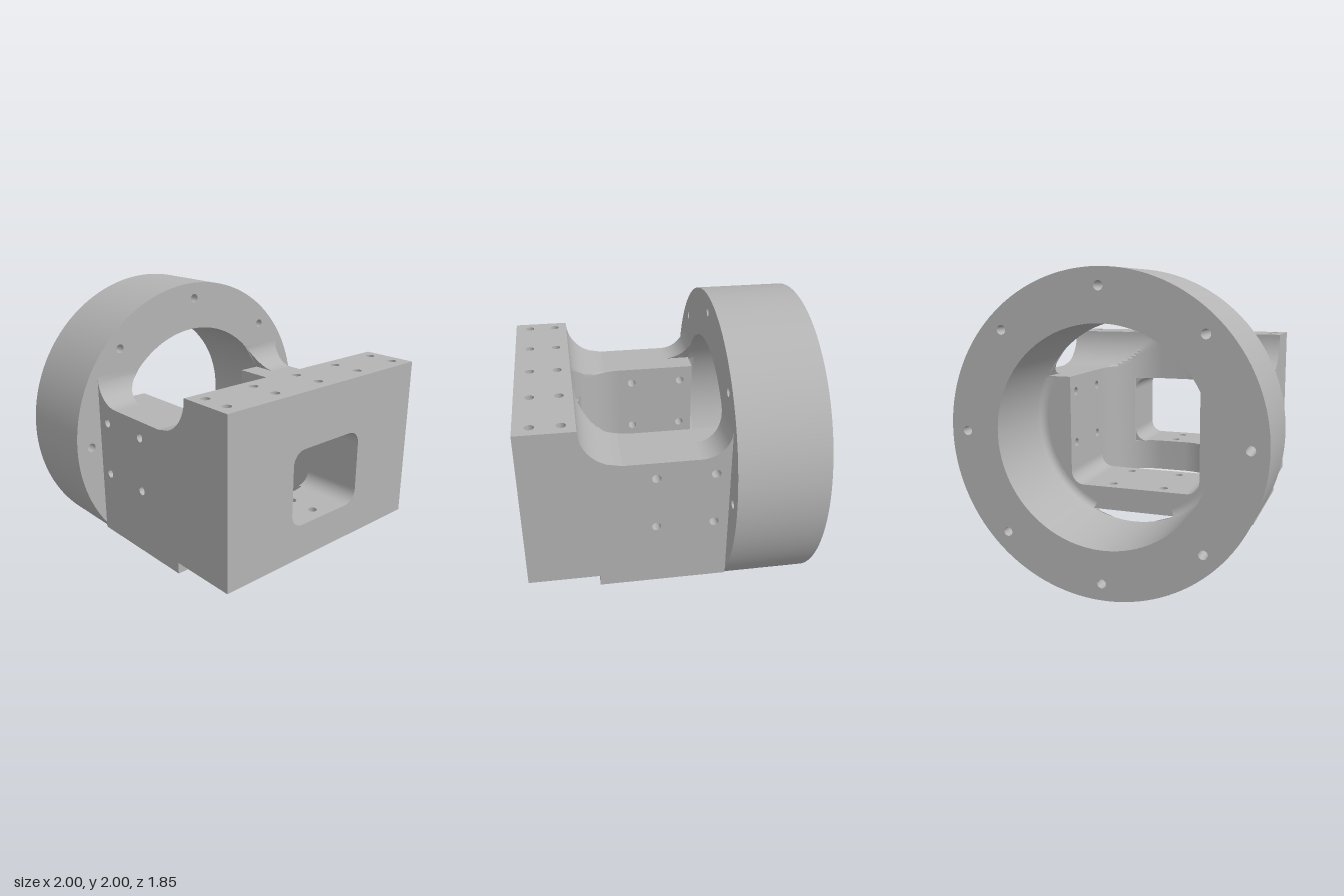
import * as THREE from 'three';
import { toCreasedNormals } from 'three/addons/utils/BufferGeometryUtils.js';

const BORE = 0.68, W = 0.815, PW = 0.455, PR = 0.36; // bore radius, half width, pocket half width, pocket corner radius
const BACK = -0.35, MID = 0.195, FRONT = 0.925, HOLE = 0.029;
const WALL_TOP = 1.29, TOP = 1.545, FLOOR = 0.545;

// Shape from points, with round screw holes
function makeShape(points, holes = []) {
  const shape = new THREE.Shape(points.map(([a, b]) => new THREE.Vector2(a, b)));
  for (const [a, b] of holes) {
    const h = new THREE.Path();
    h.absarc(a, b, HOLE, 0, Math.PI * 2, true);
    shape.holes.push(h);
  }
  return shape;
}

const extrude = (shape, depth, steps = 1) =>
  new THREE.ExtrudeGeometry(shape, { depth, steps, bevelEnabled: false, curveSegments: 12 });

// Evenly spaced points on a circle
const circle = (r, n) => Array.from({ length: n }, (_, i) =>
  [r * Math.cos(i * 2 * Math.PI / n), r * Math.sin(i * 2 * Math.PI / n)]);

// Horizontal plan given in (x, z), raised from y0 to y1
function plan(points, holes, y0, y1, steps = 1) {
  const flip = (list) => list.map(([x, z]) => [x, -z]);
  return extrude(makeShape(flip(points), flip(holes)), y1 - y0, steps)
    .rotateX(-Math.PI / 2).translate(0, y0, 0);
}

// Section of a concave fillet sitting in a corner
function cornerShape(cx, cy, sx, sy, r) {
  const pts = [[cx, cy]];
  for (let i = 0; i <= 10; i++) {
    const a = (i / 10) * Math.PI / 2;
    pts.push([cx + sx * r * (1 - Math.sin(a)), cy + sy * r * (1 - Math.cos(a))]);
  }
  return makeShape(pts);
}

// Points on the rounded pocket corner, from angle a0 to a1
function pocketArc(s, a0, a1) {
  return Array.from({ length: 21 }, (_, i) => {
    const a = a0 + (a1 - a0) * i / 20;
    return [s * (PW - PR + PR * Math.cos(a)), MID + PR * Math.sin(a)];
  });
}

export function createModel() {
  const group = new THREE.Group();
  const grey = new THREE.MeshStandardMaterial({ color: 0xb4b4b4 });
  grey.name = 'machined grey';
  const add = (name, geometry) => {
    const mesh = new THREE.Mesh(toCreasedNormals(geometry, 0.5), grey);
    mesh.name = name;
    group.add(mesh);
  };

  // Flange ring with eight bolt holes
  const ring = makeShape(circle(1, 128), circle(0.893, 8));
  ring.holes.push(makeShape(circle(BORE, 128)));
  add('flangeRing', extrude(ring, 0.575).translate(0, 1, -0.925));

  // Front block, stacked in layers around the window
  const right = pocketArc(1, 0, Math.PI / 2), left = pocketArc(-1, Math.PI / 2, 0);
  const fullPlan = [[-W, MID], [-W, FRONT], [W, FRONT], [W, MID], ...right, ...left];
  const screws = [];
  for (const x of [-0.73, -0.365, 0, 0.365, 0.73]) for (const z of [0.645, 0.825]) screws.push([x, z]);
  add('frontBlockLower', plan(fullPlan, screws, 0.46, 0.69));
  add('frontBlockUpper', plan(fullPlan, screws, 1.19, WALL_TOP));

  // Top bar: rear side is hollowed by a quarter round
  const bar = plan(fullPlan, screws, WALL_TOP, TOP, 14);
  const p = bar.attributes.position;
  const R = TOP - WALL_TOP;
  for (let i = 0; i < p.count; i++) {
    const d = TOP - p.getY(i);
    const rear = 0.56 - R + Math.sqrt(Math.max(0, R * R - d * d));
    p.setZ(i, Math.max(p.getZ(i), rear));
  }
  add('topBar', bar);

  for (const s of [1, -1]) {
    const side = s > 0 ? 'left' : 'right';

    // Block beside the window
    const aWin = Math.acos((0.295 - PW + PR) / PR);
    add(side + 'WindowPost', plan(
      [[s * W, MID], [s * W, FRONT], [s * 0.295, FRONT], ...pocketArc(s, aWin, 0)],
      screws.filter(([x]) => x * s > 0.1), 0.69, 1.19));

    // Stepped foot under the block
    const aStep = Math.asin((0.47 - MID) / PR);
    add(side + 'Foot', plan([[s * W, MID], [s * W, 0.47], ...pocketArc(s, aStep, 0)], [], 0.385, 0.46));

    // Side wall with four cross holes
    const cross = [];
    for (const z of [0.105, -0.26]) for (const y of [0.82, 1.18]) cross.push([-z, y]);
    const wall = makeShape([[-MID, 0.385], [-BACK, 0.385], [-BACK, WALL_TOP], [-MID, WALL_TOP]], cross);
    add(side + 'Wall', extrude(wall, W - PW).rotateY(Math.PI / 2).translate(s > 0 ? PW : -W, 0, 0));

    // Fillets joining the wall to the ring, trimmed to the bore and the rim
    for (const [name, y, dir, r] of [['UpperFillet', WALL_TOP, 1, 0.18], ['LowerFillet', 0.385, -1, 0.05]]) {
      const geo = extrude(cornerShape(-BACK, y, -1, dir, r), 1).rotateY(Math.PI / 2);
      const q = geo.attributes.position;
      for (let i = 0; i < q.count; i++) {
        const dy = q.getY(i) - 1;
        const inner = Math.sqrt(BORE * BORE - dy * dy);
        const outer = Math.min(W, Math.sqrt(1 - dy * dy));
        const t = q.getX(i);
        q.setX(i, s > 0 ? inner + t * (outer - inner) : -outer + t * (outer - inner));
      }
      add(side + name, geo);
    }

    // Fillet between the bore and the wall's rear face
    const arc = Array.from({ length: 9 }, (_, i) => {
      const a = (i / 8) * Math.PI / 2;
      return new THREE.Vector2(BORE - 0.05 * (1 - Math.sin(a)), BACK - 0.05 * (1 - Math.cos(a)));
    });
    const phi = THREE.MathUtils.degToRad(s > 0 ? 25 : -115);
    add(side + 'BoreFillet', new THREE.LatheGeometry(arc, 32, phi, Math.PI / 2)
      .rotateX(Math.PI / 2).translate(0, 1, 0));

    // Rounded window corners and floor edges
    for (const [y, dir] of [[0.69, 1], [1.19, -1]])
      add(side + 'WindowCorner', extrude(cornerShape(s * 0.295, y, -s, dir, 0.09), FRONT - 0.515).translate(0, 0, 0.515));
    add(side + 'FloorFillet', extrude(cornerShape(s * PW, FLOOR, -s, 1, 0.09), MID - BACK).translate(0, 0, BACK));
  }

  // Floor plate with four holes
  const floorHoles = [];
  for (const x of [-0.182, 0.182]) for (const z of [0.105, -0.26]) floorHoles.push([x, z]);
  add('floorPlate', plan([[-PW, BACK], [-PW, MID], [PW, MID], [PW, BACK]], floorHoles, 0.385, FLOOR));

  return group;
}
